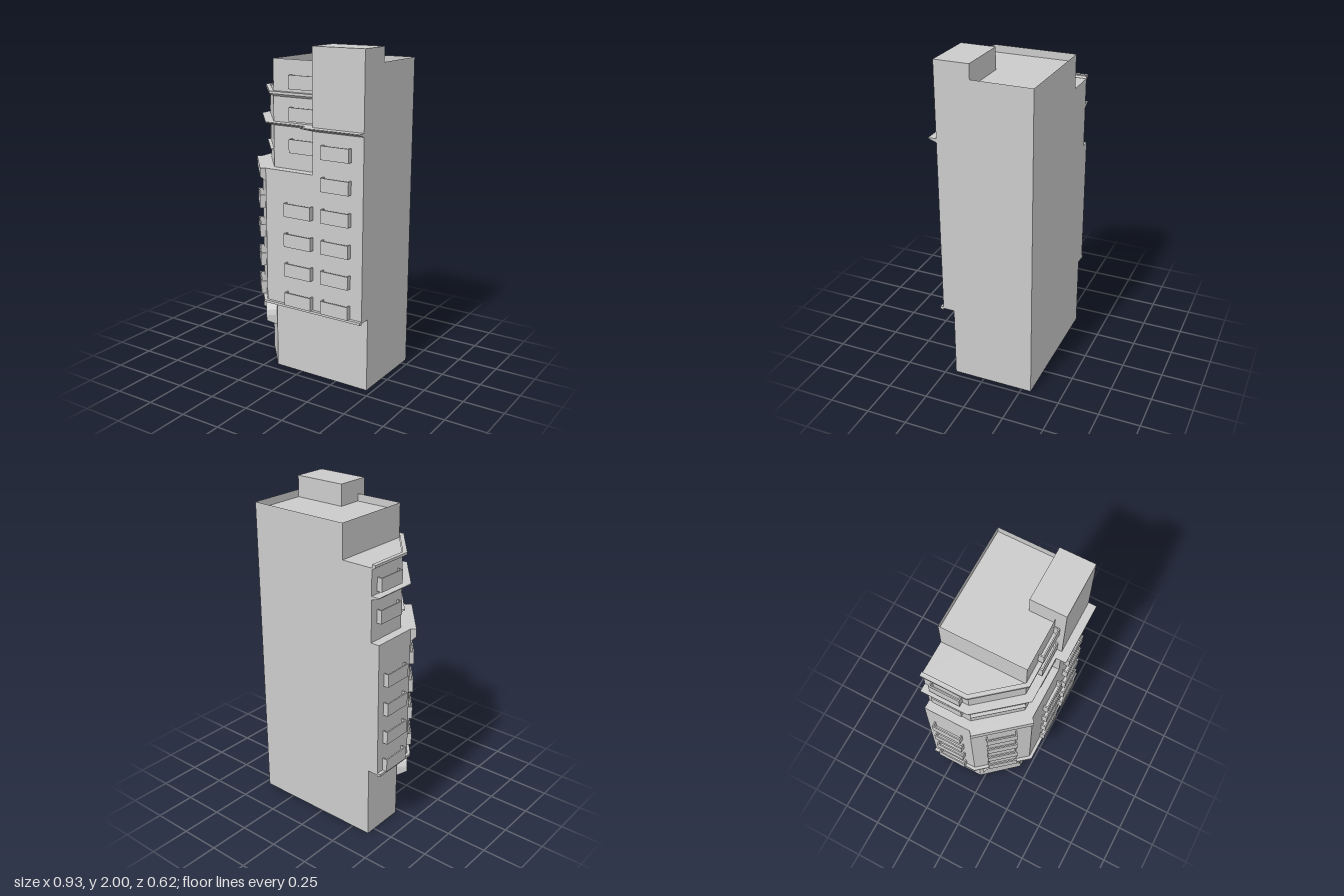
import * as THREE from 'three';
import { mergeGeometries } from 'three/addons/utils/BufferGeometryUtils.js';

const material = new THREE.MeshStandardMaterial({ color: 0xcccccc, flatShading: true, side: THREE.DoubleSide });
const R = 0.465, BACK = -0.31;

// Plan outlines as [x, z], running from the back of the -x side round the front
const basePlan = [[-0.37, BACK], [-0.37, -0.03], [-0.18, 0.19], [R, 0.19], [R, BACK]];
const bodyPlan = [[-0.435, BACK], [-0.435, -0.02], [-0.2, 0.26], [R, 0.26], [R, BACK]];
const upperPlan = [[-0.38, BACK], [-0.38, -0.04], [-0.18, 0.2], [R, 0.2], [R, BACK]];
const topPlan = [[-0.18, BACK], [-0.18, 0.2], [R, 0.2], [R, BACK]];
const towerPlan = [[0.13, 0.05], [0.13, 0.26], [R, 0.26], [R, 0.05]];

// Moves a plan path outward by d with mitred corners
function offset(path, d) {
  const normals = path.slice(1).map(([x, z], i) => {
    const tx = x - path[i][0], tz = z - path[i][1], l = Math.hypot(tx, tz);
    return [-tz / l, tx / l];
  });
  return path.map(([x, z], i) => {
    const a = normals[Math.max(i - 1, 0)], b = normals[Math.min(i, normals.length - 1)];
    const k = d / (1 + a[0] * b[0] + a[1] * b[1]);
    return [x + (a[0] + b[0]) * k, z + (a[1] + b[1]) * k];
  });
}

// Skins a stack of rows { path, y }, optionally filling the two ends
function skin(rows, fillEnds = false) {
  const out = [];
  const p = (r, i) => [rows[r].path[i][0], rows[r].y, rows[r].path[i][1]];
  const n = rows[0].path.length;
  for (let r = 0; r < rows.length - 1; r++) {
    for (let i = 0; i < n - 1; i++) {
      const a = p(r, i), b = p(r, i + 1), c = p(r + 1, i + 1), d = p(r + 1, i);
      out.push(...a, ...b, ...c, ...a, ...c, ...d);
    }
  }
  if (fillEnds) {
    for (let r = 1; r < rows.length - 1; r++) {
      out.push(...p(0, 0), ...p(r, 0), ...p(r + 1, 0));
      out.push(...p(0, n - 1), ...p(r + 1, n - 1), ...p(r, n - 1));
    }
  }
  const g = new THREE.BufferGeometry();
  g.setAttribute('position', new THREE.Float32BufferAttribute(out, 3));
  g.computeVertexNormals();
  return g;
}

function walls(plan, y0, y1) {
  const path = [...plan, plan[0]];
  return skin([{ path, y: y0 }, { path, y: y1 }]);
}

function slab(plan, y) {
  const shape = new THREE.Shape(plan.map(([x, z]) => new THREE.Vector2(x, -z)));
  return new THREE.ShapeGeometry(shape).rotateX(-Math.PI / 2).translate(0, y, 0);
}

// Ledge along a path: slanted underside, vertical lip, flat top
function ledge(path, depth, bottom, lip, top) {
  const outer = offset(path, depth);
  return skin([
    { path, y: bottom }, { path: outer, y: lip }, { path: outer, y: top }, { path, y: top },
  ], true);
}

// Open-topped balcony: floor, front panel and two side panels
function balconyGeometry() {
  const w = 0.185, h = 0.08, d = 0.032, t = 0.008;
  const parts = [
    new THREE.BoxGeometry(w, t, d).translate(0, t / 2, d / 2),
    new THREE.BoxGeometry(w, h, t).translate(0, h / 2, d - t / 2),
  ];
  for (const s of [-1, 1]) {
    parts.push(new THREE.BoxGeometry(t, h, d).translate(s * (w - t) / 2, h / 2, d / 2));
  }
  return mergeGeometries(parts);
}

export function createModel() {
  const model = new THREE.Group();
  const add = (name, geometry) => {
    const mesh = new THREE.Mesh(geometry, material);
    mesh.name = name;
    model.add(mesh);
    return mesh;
  };

  // Stacked storeys, open underneath
  add('baseWalls', walls(basePlan, 0, 0.45));
  add('overhangSoffit', skin([{ path: basePlan, y: 0.45 }, { path: bodyPlan, y: 0.45 }]));
  add('bodyWalls', walls(bodyPlan, 0.45, 1.28));
  add('bodyTerrace', slab(bodyPlan, 1.28));
  add('upperWalls', walls(upperPlan, 1.28, 1.71));
  add('upperTerrace', slab(upperPlan, 1.71));
  add('topWalls', walls(topPlan, 1.71, 1.915));
  add('roof', slab(topPlan, 1.87));
  add('towerWalls', walls(towerPlan, 1.28, 2));
  add('towerRoof', slab(towerPlan, 2));

  // Ledges and cornices
  const upperFront = [...upperPlan.slice(0, 3), [0.13, 0.2]];
  add('baseLedge', ledge(bodyPlan.slice(0, 4), 0.02, 0.44, 0.445, 0.46));
  add('cornerCornice', ledge(bodyPlan.slice(1, 3), 0.033, 1.2, 1.23, 1.28));
  add('cornerLedge', ledge(upperPlan.slice(1, 3), 0.02, 1.375, 1.385, 1.39));
  add('upperLedge', ledge([...upperFront, [0.13, 0.26], [R, 0.26]], 0.05, 1.53, 1.547, 1.552));
  add('topCornice', ledge(upperFront, 0.025, 1.7, 1.715, 1.73));

  // Balconies: wall point, facing angle, first and last floor
  const cornerAngle = Math.atan2(-0.28, 0.235);
  const columns = [
    ['frontBalcony', -0.04 + 0.08, 0.26, 0, 0, 3],
    ['upperFrontBalcony', 0.04, 0.2, 0, 5, 7],
    ['towerBalcony', 0.295, 0.26, 0, 0, 5],
    ['cornerBalcony', -0.318, 0.12, cornerAngle, 0, 3],
    ['sideBalcony', -0.435, -0.17, -Math.PI / 2, 0, 3],
    ['upperSideBalcony', -0.38, -0.17, -Math.PI / 2, 5, 6],
  ];
  const balcony = balconyGeometry();
  for (const [name, x, z, angle, first, last] of columns) {
    for (let floor = first; floor <= last; floor++) {
      const mesh = add(name, balcony);
      mesh.position.set(x, 0.462 + 0.184 * floor, z);
      mesh.rotation.y = angle;
    }
  }

  // Barrel canopy over the corner entrance, its feet dropping toward the wall
  const depth = 0.066;
  const arch = new THREE.CylinderGeometry(0.127, 0.127, depth, 12, 1, true, Math.PI / 2, Math.PI)
    .rotateX(Math.PI / 2).translate(0, 0, depth / 2);
  const pos = arch.attributes.position;
  for (let i = 0; i < pos.count; i++) {
    const y = Math.abs(pos.getY(i));
    pos.setY(i, y < 0.001 && pos.getZ(i) < 0.001 ? -0.03 : y);
  }
  arch.computeVertexNormals();
  const canopy = add('entranceCanopy', arch);
  canopy.position.set(-0.275, 0.293, 0.08);
  canopy.rotation.y = Math.atan2(-0.22, 0.19);

  return model;
}
